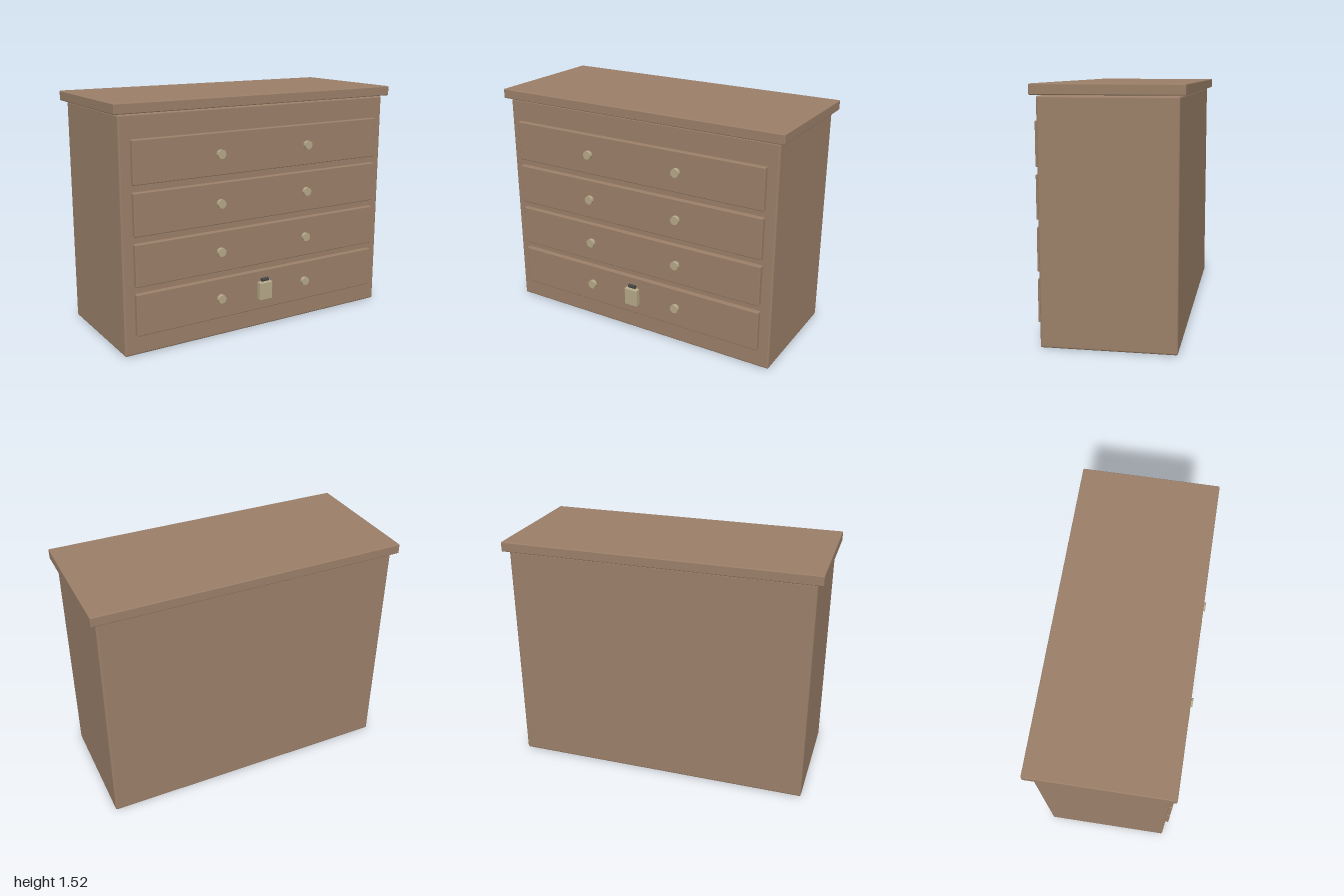
import * as THREE from 'three';
import { RoundedBoxGeometry } from 'three/addons/geometries/RoundedBoxGeometry.js';

const wood = new THREE.MeshStandardMaterial({ color: 0x9a7f68 });
const brass = new THREE.MeshStandardMaterial({ color: 0xb5a888 });
const knobBrass = new THREE.MeshStandardMaterial({ color: 0xb5a888, flatShading: true });
const dark = new THREE.MeshStandardMaterial({ color: 0x444444 });

// Soft-edged box given by its extents on each axis
function block(name, [x0, x1], [y0, y1], [z0, z1], radius, material) {
  const geometry = new RoundedBoxGeometry(x1 - x0, y1 - y0, z1 - z0, 2, radius);
  const mesh = new THREE.Mesh(geometry, material);
  mesh.position.set((x0 + x1) / 2, (y0 + y1) / 2, (z0 + z1) / 2);
  mesh.name = name;
  return mesh;
}

export function createModel() {
  const model = new THREE.Group();
  model.name = 'chestOfDrawers';

  // Carcass and overhanging top
  model.add(block('body', [-0.965, 0.965], [0.003, 1.453], [-0.415, 0.385], 0.012, wood));
  model.add(block('top', [-1, 1], [1.458, 1.52], [-0.45, 0.416], 0.006, wood));

  // Four drawers, each with two round knobs
  const knobGeometry = new THREE.CylinderGeometry(0.028, 0.028, 0.035, 12).rotateX(Math.PI / 2);
  for (let i = 0; i < 4; i++) {
    const y = 0.262 + i * 0.306;
    const drawer = new THREE.Group();
    drawer.name = `drawer${i + 1}`;
    drawer.add(block('drawerFront', [-0.895, 0.895], [y - 0.131, y + 0.131], [0.36, 0.415], 0.006, wood));
    for (const side of [-1, 1]) {
      const knob = new THREE.Mesh(knobGeometry, knobBrass);
      knob.name = side > 0 ? 'leftKnob' : 'rightKnob';
      knob.position.set(side * 0.322, y, 0.421);
      drawer.add(knob);
    }
    model.add(drawer);
  }

  // Padlock on the bottom drawer
  const padlock = new THREE.Group();
  padlock.name = 'padlock';
  padlock.add(block('lockBody', [-0.047, 0.047], [0.2, 0.32], [0.405, 0.45], 0.006, brass));
  const shackle = new THREE.Mesh(
    new THREE.CylinderGeometry(0.012, 0.012, 0.05, 12).rotateZ(Math.PI / 2), dark);
  shackle.name = 'shackle';
  shackle.position.set(0, 0.333, 0.427);
  padlock.add(shackle);
  model.add(padlock);

  // Low corner feet, almost flush with the underside
  const footGeometry = new THREE.BoxGeometry(0.09, 0.03, 0.09);
  for (const x of [-0.885, 0.885]) {
    for (const z of [-0.33, 0.3]) {
      const foot = new THREE.Mesh(footGeometry, dark);
      foot.name = 'foot';
      foot.position.set(x, 0.015, z);
      model.add(foot);
    }
  }
  return model;
}
